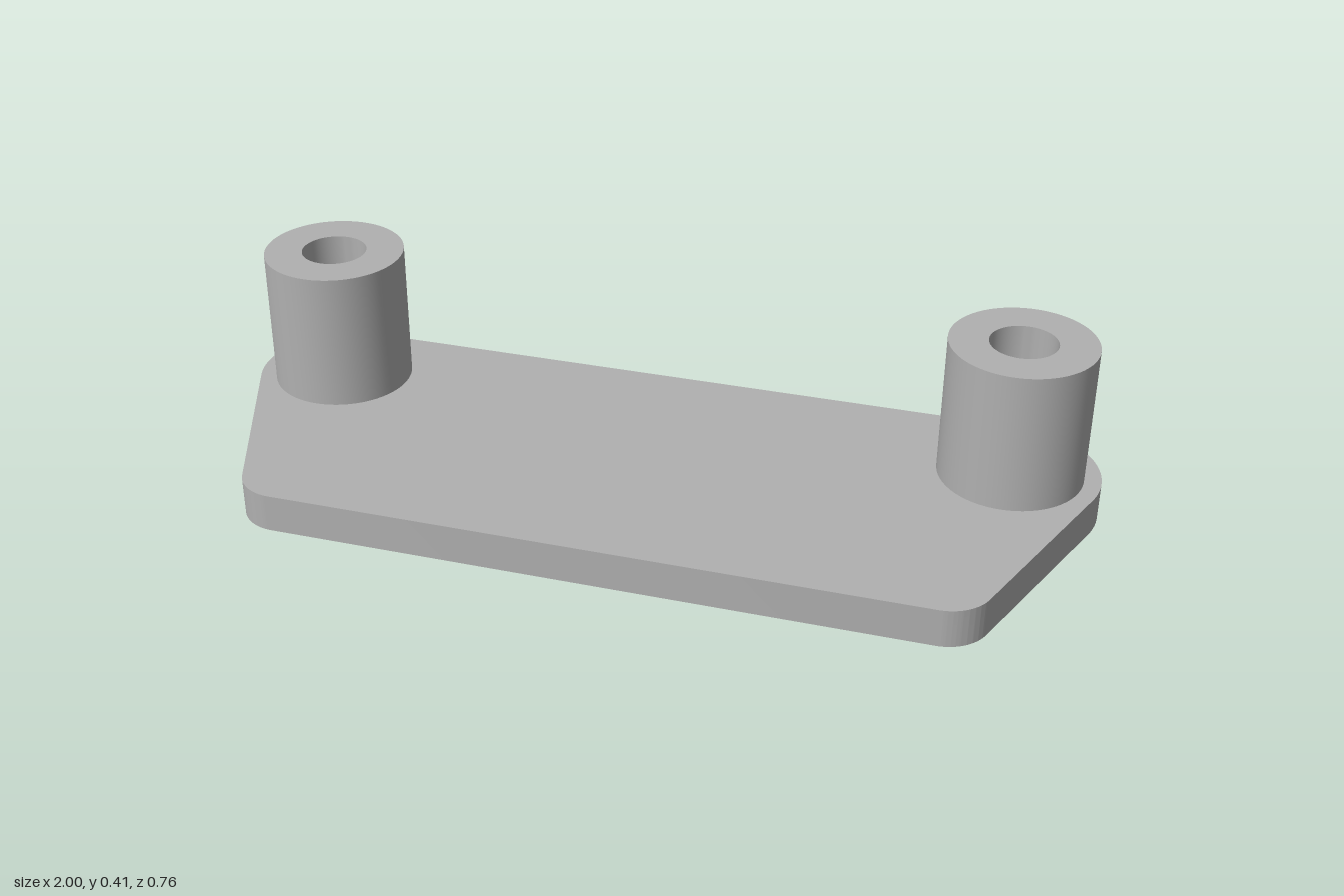
import * as THREE from 'three';
import { toCreasedNormals } from 'three/addons/utils/BufferGeometryUtils.js';

const PLATE_H = 0.088, TOP = 0.412;
const POST_X = 0.8, POST_Z = -0.182;

// Extrude a plan outline (shape y = -z) upwards, smooth on curves, sharp at rims
function extrudeUp(shape, height) {
  const geo = new THREE.ExtrudeGeometry(shape, { depth: height, bevelEnabled: false, curveSegments: 32 });
  geo.rotateX(-Math.PI / 2);
  return toCreasedNormals(geo, 0.6);
}

// Tapered plate outline: large rear corners, small front corners
function plateShape() {
  const taper = 0.363, rearR = 0.2, frontR = 0.1, frontX = 0.73, frontZ = 0.281;
  const s = new THREE.Shape();
  s.absarc(POST_X, -POST_Z, rearR, -taper, Math.PI / 2);
  s.absarc(-POST_X, -POST_Z, rearR, Math.PI / 2, Math.PI + taper);
  s.absarc(-frontX, -frontZ, frontR, Math.PI + taper, Math.PI * 1.5);
  s.absarc(frontX, -frontZ, frontR, Math.PI * 1.5, Math.PI * 2 - taper);
  s.closePath();
  return s;
}

// Ring outline of a hollow post
function postShape() {
  const s = new THREE.Shape();
  s.absarc(0, 0, 0.162, 0, Math.PI * 2);
  const hole = new THREE.Path();
  hole.absarc(0, 0, 0.075, 0, Math.PI * 2, true);
  s.holes.push(hole);
  return s;
}

export function createModel() {
  const group = new THREE.Group();
  const grey = new THREE.MeshStandardMaterial({ color: 0xb0b0b0 });
  grey.name = 'grey';

  const plate = new THREE.Mesh(extrudeUp(plateShape(), PLATE_H), grey);
  plate.name = 'basePlate';
  group.add(plate);

  // Two hollow posts standing over the rear corners
  const postGeo = extrudeUp(postShape(), TOP - PLATE_H);
  for (const side of [1, -1]) {
    const post = new THREE.Mesh(postGeo, grey);
    post.name = side > 0 ? 'leftPost' : 'rightPost';
    post.position.set(side * POST_X, PLATE_H, POST_Z);
    group.add(post);
  }
  return group;
}
